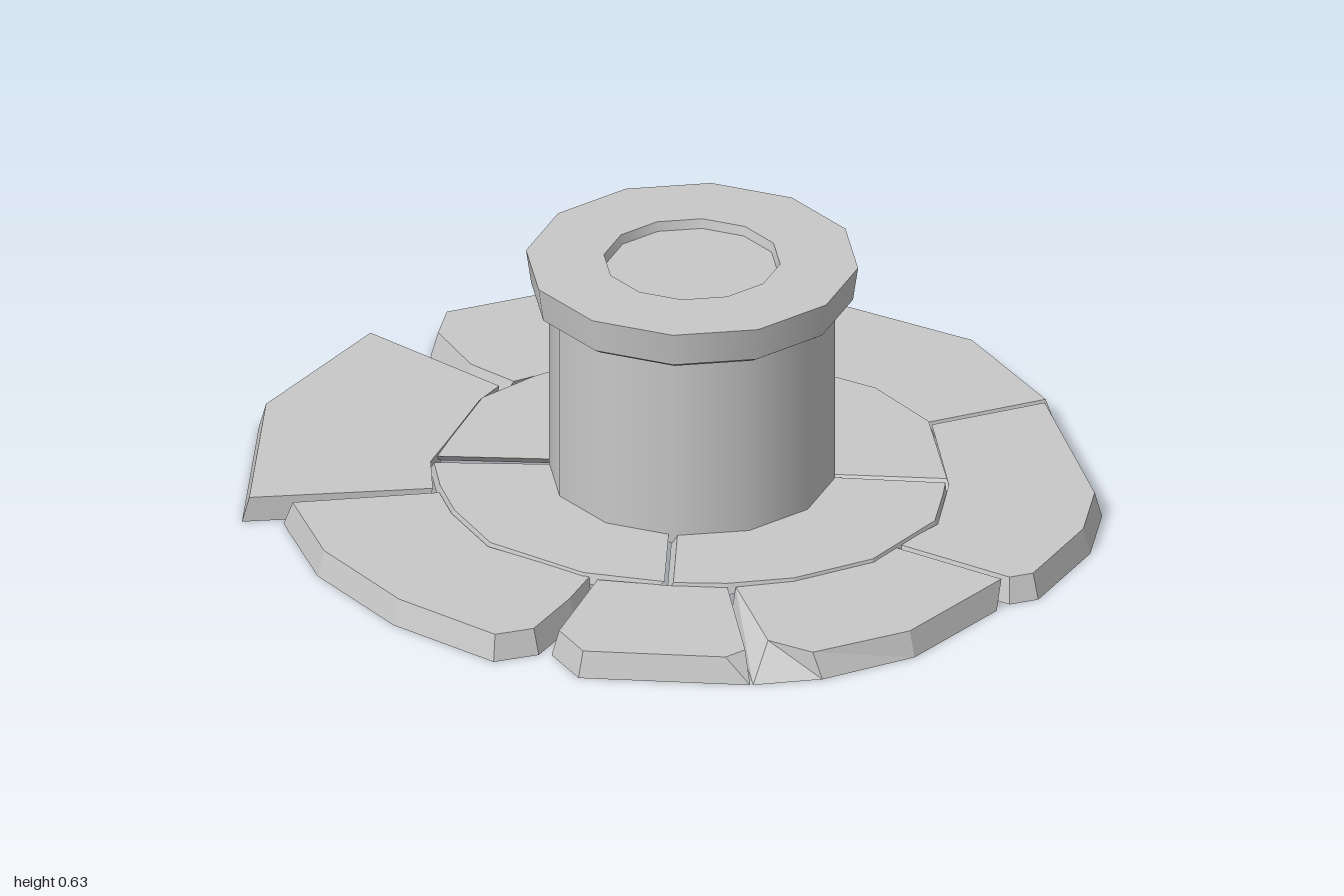
import * as THREE from 'three';

const stone = new THREE.MeshStandardMaterial({ color: 0xc8c8c8 });
stone.name = 'grey stone';
stone.side = THREE.DoubleSide;

const CX = 0.063, CZ = 0.007; // axis of the column

// Move every edge of an outline inwards by its own distance
function insetOutline(pts, dist) {
  const n = pts.length;
  const normal = (i) => {
    const d = pts[(i + 1) % n].clone().sub(pts[i]).normalize();
    return new THREE.Vector2(-d.y, d.x);
  };
  return pts.map((p, i) => {
    const k = (i + n - 1) % n;
    const a = normal(k), b = normal(i), da = dist[k], db = dist[i];
    const det = a.x * b.y - a.y * b.x;
    if (Math.abs(det) < 0.2) return p.clone().addScaledVector(a.add(b).normalize(), (da + db) / 2);
    return new THREE.Vector2(
      p.x + (da * b.y - db * a.y) / det,
      p.y + (db * a.x - da * b.x) / det,
    );
  });
}

// Stone slab between heights y0 and y1. The outline is [x, z] pairs, clockwise
// from above: first the rim points, then the inner edge. Rim and end side slope
// in towards the top; inner edge and start side are undercut.
// chips moves single top corners.
function slab(name, outline, rim, { y0, y1, slope, undercut, start = 0.04, chips = {} }) {
  const n = outline.length;
  const pts = outline.map(([x, z]) => new THREE.Vector2(x, z));
  const top = insetOutline(pts, pts.map((_, i) => (i < rim - 1 ? slope : i === rim - 1 ? 0.015 : 0)));
  const base = insetOutline(pts, pts.map((_, i) => (i < rim ? 0 : i === n - 1 ? start : undercut)));
  for (const [i, [x, z]] of Object.entries(chips)) top[i].set(x, z);

  const pos = [];
  const put = (p, y) => pos.push(p.x, y, p.y);
  for (const [a, b, c] of THREE.ShapeUtils.triangulateShape(top, [])) {
    put(top[a], y1); put(top[c], y1); put(top[b], y1);
  }
  for (const [a, b, c] of THREE.ShapeUtils.triangulateShape(base, [])) {
    put(base[a], y0); put(base[b], y0); put(base[c], y0);
  }
  for (let i = 0; i < n; i++) {
    const j = (i + 1) % n;
    put(base[i], y0); put(top[j], y1); put(base[j], y0);
    put(base[i], y0); put(top[i], y1); put(top[j], y1);
  }
  const geo = new THREE.BufferGeometry();
  geo.setAttribute('position', new THREE.Float32BufferAttribute(pos, 3));
  geo.computeVertexNormals();
  const mesh = new THREE.Mesh(geo, stone);
  mesh.name = name;
  return mesh;
}

// Points along the column foot, from one angle to another (degrees, z down)
function footArc(from, to) {
  const pts = [];
  for (let i = 0; i <= 4; i++) {
    const a = THREE.MathUtils.degToRad(from + (to - from) * i / 4);
    pts.push([CX + 0.325 * Math.cos(a), CZ + 0.325 * Math.sin(a)]);
  }
  return pts;
}

// Smooth twelve-sided band
function band(name, profile) {
  const points = profile.map(([r, y]) => new THREE.Vector2(r, y));
  const mesh = new THREE.Mesh(new THREE.LatheGeometry(points, 12, Math.PI / 12), stone);
  mesh.name = name;
  mesh.position.set(CX, 0, CZ);
  return mesh;
}

export function createModel() {
  const model = new THREE.Group();
  model.name = 'stonePedestal';

  // Hollow column, open underneath, standing on the slabs
  model.add(band('column', [[0.338, 0.05], [0.338, 0.54]]));

  // Flared cap with a shallow round recess
  const cap = new THREE.Group();
  cap.name = 'cap';
  cap.add(
    band('capUnderside', [[0.335, 0.53], [0.36, 0.53]]),
    band('capLip', [[0.36, 0.53], [0.38, 0.543]]),
    band('capSide', [[0.38, 0.543], [0.392, 0.627]]),
    band('capTop', [[0.392, 0.627], [0.208, 0.627]]),
    band('recessWall', [[0.208, 0.627], [0.203, 0.604]]),
    band('recessFloor', [[0.203, 0.604], [0, 0.604]]),
  );
  model.add(cap);

  // Inner ring of four thin slabs: [rim point count, outline]
  const inner = new THREE.Group();
  inner.name = 'innerRing';
  const innerSlabs = [
    [6, [[0.21, -0.572], [0.24, -0.57], [0.37, -0.5], [0.555, -0.35], [0.655, -0.16], [0.655, 0.155],
      ...footArc(15, -73)]],
    [7, [[0.648, 0.16], [0.635, 0.215], [0.595, 0.35], [0.42, 0.525], [0.22, 0.595], [0.06, 0.6],
      [-0.08, 0.575], ...footArc(107, 15)]],
    [6, [[-0.085, 0.57], [-0.27, 0.495], [-0.465, 0.31], [-0.525, 0.13], [-0.54, 0], [-0.537, -0.135],
      ...footArc(196, 108)]],
    [7, [[-0.525, -0.15], [-0.485, -0.23], [-0.375, -0.435], [-0.24, -0.525], [-0.1, -0.59], [0.02, -0.59],
      [0.207, -0.572], ...footArc(287, 198)]],
  ];
  const thin = { y0: 0.045, y1: 0.071, slope: 0.007, undercut: 0.01, start: 0.03 };
  innerSlabs.forEach(([rim, o], i) => inner.add(slab(`innerSlab${i + 1}`, o, rim, thin)));
  model.add(inner);

  // Outer ring of seven uneven slabs: [rim point count, outline, own details]
  const outer = new THREE.Group();
  outer.name = 'outerRing';
  const outerSlabs = [
    // back
    [7, [[-0.3, -0.51], [-0.385, -0.61], [-0.44, -0.79], [-0.4, -0.905], [-0.08, -0.985], [0.245, -0.975],
      [0.52, -0.86], [0.335, -0.525], [0.24, -0.57], [0.02, -0.585], [-0.1, -0.585]], { start: 0.02 }],
    // left side, back
    [3, [[0.525, -0.82], [0.825, -0.58], [0.96, -0.235], [0.655, -0.155], [0.555, -0.35], [0.36, -0.505]]],
    // left side
    [5, [[0.95, -0.232], [1, 0.245], [0.945, 0.43], [0.79, 0.645], [0.72, 0.66], [0.48, 0.45],
      [0.595, 0.35], [0.65, 0.155], [0.655, -0.155]]],
    // front left, with a chipped corner
    [4, [[0.715, 0.66], [0.46, 0.895], [0.23, 0.975], [0.065, 0.98], [0.065, 0.6], [0.22, 0.59],
      [0.42, 0.52], [0.478, 0.452]], { chips: { 2: [0.21, 0.955], 3: [0.115, 0.88] } }],
    // front, with a chipped corner
    [4, [[0.063, 0.98], [0, 0.966], [-0.335, 0.885], [-0.38, 0.76], [-0.25, 0.51], [-0.07, 0.57],
      [0.06, 0.6]], { start: 0.005, chips: { 0: [0.055, 0.92] } }],
    // right side, front
    [7, [[-0.24, 0.51], [-0.3, 0.61], [-0.41, 0.755], [-0.52, 0.775], [-0.725, 0.555], [-0.865, 0.28],
      [-0.905, 0.005], [-0.54, 0.005], [-0.525, 0.13], [-0.465, 0.31]], { start: 0.02 }],
    // right side, back
    [3, [[-1, -0.02], [-0.89, -0.495], [-0.58, -0.835], [-0.31, -0.51], [-0.375, -0.435], [-0.485, -0.23],
      [-0.535, -0.14], [-0.55, -0.003]], { start: 0 }],
  ];
  const thick = { y0: 0, y1: 0.063, slope: 0.017, undercut: 0.02 };
  outerSlabs.forEach(([rim, o, own], i) => (
    outer.add(slab(`outerSlab${i + 1}`, o, rim, { ...thick, ...own }))
  ));
  model.add(outer);

  return model;
}
